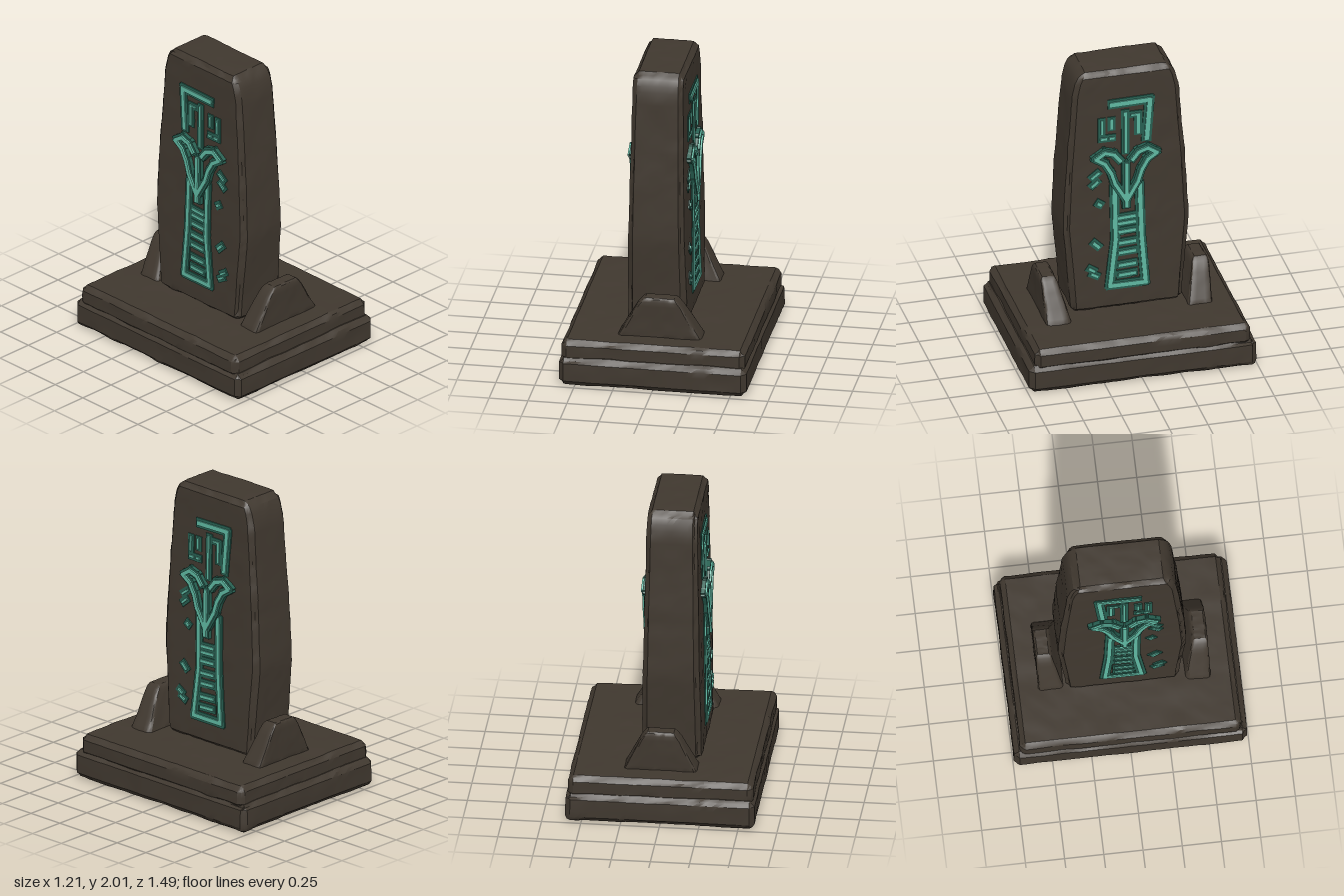
import * as THREE from 'three';
import { mergeGeometries, toCreasedNormals } from 'three/addons/utils/BufferGeometryUtils.js';

const material = (name, color) => Object.assign(new THREE.MeshStandardMaterial({ color }), { name });
const stoneMat = material('dark stone', 0x40382f);
const runeMat = material('bright teal', 0x5fb8a2);
const glowMat = material('deep teal', 0x275f51);

const { lerp, clamp } = THREE.MathUtils;

// Linear lookup in a list of [position, value] pairs
function lookup(list, t) {
  for (let i = 1; i < list.length; i++) {
    const [a, va] = list[i - 1], [b, vb] = list[i];
    if (t <= b || i === list.length - 1) return lerp(va, vb, clamp((t - a) / (b - a), 0, 1));
  }
}

// Smooth repeatable value noise from 0 to 1
function hash(x, y, z) {
  const s = Math.sin(x * 127.1 + y * 311.7 + z * 74.7) * 43758.5453;
  return s - Math.floor(s);
}
function noise(x, y, z) {
  const [i, j, k] = [x, y, z].map(Math.floor);
  const [u, v, w] = [x - i, y - j, z - k].map((f) => f * f * (3 - 2 * f));
  const edge = (b, c) => lerp(hash(i, j + b, k + c), hash(i + 1, j + b, k + c), u);
  return lerp(lerp(edge(0, 0), edge(1, 0), v), lerp(edge(0, 1), edge(1, 1), v), w);
}

// Rounded block worn inwards, most of all along its edges, then reshaped by a rule
function stone(name, size, { cell = 0.04, radius = 0.04, wear = 0.012, chips = 5, seed = 0, reshape }) {
  const geo = new THREE.BoxGeometry(...size, ...size.map((s) => Math.max(3, Math.round(s / cell))));
  const inner = new THREE.Vector3(...size).multiplyScalar(0.5).subScalar(radius);
  const pos = geo.attributes.position;
  const p = new THREE.Vector3(), core = new THREE.Vector3();
  for (let i = 0; i < pos.count; i++) {
    p.fromBufferAttribute(pos, i);
    core.copy(p).clamp(inner.clone().negate(), inner);
    const dir = p.clone().sub(core).normalize();
    const edge = 1 - Math.max(Math.abs(dir.x), Math.abs(dir.y), Math.abs(dir.z));
    const n = 0.65 * noise(p.x * 7 + seed, p.y * 9 + 31, p.z * 7 + 57)
      + 0.35 * noise(p.x * 19 + seed, p.y * 23 + 11, p.z * 19 + 83);
    p.copy(core).addScaledVector(dir, radius - wear * n * (1 + chips * edge));
    if (reshape) reshape(p);
    pos.setXYZ(i, p.x, p.y, p.z);
  }
  const mesh = new THREE.Mesh(toCreasedNormals(geo, 0.5), stoneMat);
  mesh.name = name;
  return mesh;
}

// Half thickness of the standing slab at a height, and its side outline
const halfThickness = (y) => 0.2036 - 0.0192 * y;
const slabOutline = [[0.28, 0.365], [0.6, 0.39], [0.9, 0.418], [1.3, 0.397], [1.85, 0.352], [1.94, 0.33], [2.01, 0.29]];
const buttressOutline = [[0, 0.29], [0.45, 0.21], [0.8, 0.15], [1, 0.1]];

// Carved strokes as [width, points of (z, y)]
const arm = (s) => [0.026, [[0, 1.08], [0.075, 1.21], [0.1, 1.29], [0.14, 1.36], [0.2, 1.4], [0.14, 1.44],
  [0.08, 1.42], [0.04, 1.37]].map(([z, y]) => [s * z, y])];
const flowerStrokes = [arm(1), arm(-1), [0.026, [[0, 1.34], [0, 1.04]]]];
const flatStrokes = [
  // hook and hanging bars
  [0.03, [[0.09, 1.77], [-0.16, 1.775], [-0.138, 1.5]]],
  [0.018, [[0, 1.7], [0, 1.42]]],
  [0.02, [[-0.085, 1.68], [-0.085, 1.55]]],
  [0.012, [[-0.04, 1.68], [-0.085, 1.68]]],
  // ladder frame
  [0.028, [[0.075, 1.17], [0.07, 0.8], [0.108, 0.47], [-0.125, 0.47], [-0.1, 0.8], [-0.09, 1.17]]],
  // ladder rungs
  ...[0.95, 0.91, 0.85, 0.77, 0.7, 0.61, 0.54].map((y) => [0.02, [[0.045, y], [-0.055, y + 0.005]]]),
  // small side marks
  [0.014, [[0.155, 1.66], [0.155, 1.57]]],
  [0.016, [[0.09, 1.66], [0.09, 1.6]]],
  [0.016, [[0.16, 1.53], [0.13, 1.53]]],
  [0.016, [[0.1, 1.53], [0.08, 1.53]]],
  [0.016, [[0.22, 1.26], [0.18, 1.29]]],
  [0.016, [[0.22, 1.2], [0.185, 1.23]]],
  [0.02, [[0.18, 1.07], [0.165, 1.06]]],
  [0.02, [[0.21, 0.79], [0.18, 0.76]]],
  [0.016, [[0.24, 0.61], [0.21, 0.59]]],
  [0.016, [[0.225, 0.57], [0.19, 0.55]]],
];

// Raised strokes following the slab face; side is +1 or -1 along x
function relief(name, strokes, side, spread, depth, mat) {
  const parts = [];
  for (const [width, points] of strokes) {
    const w = width + spread;
    for (let i = 1; i < points.length; i++) {
      const a = new THREE.Vector2(-side * points[i - 1][0], points[i - 1][1]);
      const b = new THREE.Vector2(-side * points[i][0], points[i][1]);
      const d = b.clone().sub(a);
      const geo = new THREE.BoxGeometry(d.length() + w * 0.75, w, depth + 0.02);
      geo.rotateZ(d.angle());
      geo.translate((a.x + b.x) / 2, (a.y + b.y) / 2, (depth - 0.02) / 2);
      const pos = geo.attributes.position;
      for (let k = 0; k < pos.count; k++) pos.setZ(k, pos.getZ(k) + halfThickness(pos.getY(k)));
      parts.push(geo.rotateY(side * Math.PI / 2));
    }
  }
  const mesh = new THREE.Mesh(mergeGeometries(parts), mat);
  mesh.name = name;
  return mesh;
}

export function createModel() {
  const model = new THREE.Group();
  model.name = 'runeMonument';

  // Two-tier plinth
  const lower = stone('lowerPlinth', [1.22, 0.2, 1.5], { wear: 0.014, seed: 3 });
  lower.position.y = 0.1;
  const upper = stone('upperPlinth', [1.19, 0.16, 1.42], { wear: 0.012, seed: 17 });
  upper.position.y = 0.228;
  model.add(lower, upper);

  // Standing slab with its carvings on both broad faces
  const monument = new THREE.Group();
  monument.name = 'standingStone';
  monument.position.x = -0.035;
  monument.add(stone('slab', [0.4, 1.73, 0.83], {
    radius: 0.05, wear: 0.01, chips: 9, seed: 41,
    reshape: (p) => {
      p.y += 1.145;
      p.x *= halfThickness(p.y) / 0.2;
      p.z = p.z * lookup(slabOutline, p.y) / 0.415 - 0.01;
    },
  }));
  for (const side of [1, -1]) {
    const label = side > 0 ? 'left' : 'right';
    monument.add(
      relief(label + 'CarvingGlow', flatStrokes, side, 0.036, 0.003, glowMat),
      relief(label + 'Carving', flatStrokes, side, 0, 0.011, runeMat),
      relief(label + 'FlowerGlow', flowerStrokes, side, 0.03, 0.022, glowMat),
      relief(label + 'Flower', flowerStrokes, side, 0, 0.034, runeMat),
    );
  }
  model.add(monument);

  // Mound-shaped buttresses before and behind the slab
  for (const side of [1, -1]) {
    const scale = side > 0 ? 1 : 0.88;
    model.add(stone(side > 0 ? 'frontButtress' : 'backButtress', [0.58, 0.3, 0.17], {
      cell: 0.03, radius: 0.025, wear: 0.012, chips: 2, seed: 60 + side,
      reshape: (p) => {
        const t = clamp((p.y + 0.15) / 0.3, 0, 1);
        const thick = lerp(0.18, 0.105, t);
        p.x = p.x * scale * lookup(buttressOutline, t) / 0.29 + 0.015;
        p.z = side * (0.553 - thick / 2) + thick * p.z / 0.17;
        p.y += 0.42;
      },
    }));
  }
  return model;
}
